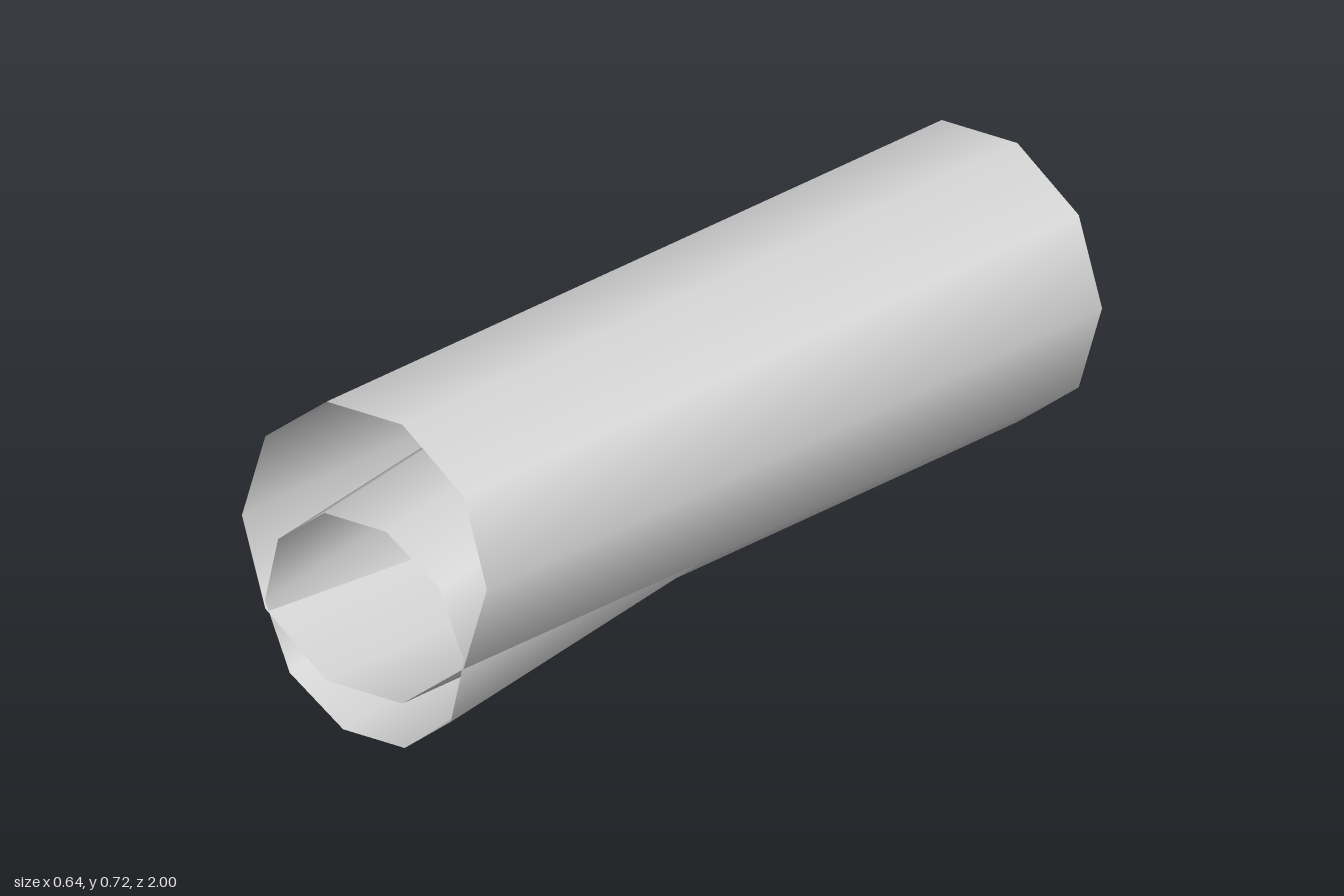
import * as THREE from 'three';

const SIDES = 10;

// Ten-sided tube along z: open at the front, closed by a flat disc at the back.
function makeTube(name, radius, length, material) {
  const tube = new THREE.Group();
  tube.name = name;

  const wall = new THREE.CylinderGeometry(radius, radius, length, SIDES, 1, true, Math.PI / 2);
  wall.rotateX(Math.PI / 2);
  const wallMesh = new THREE.Mesh(wall, material);
  wallMesh.name = name + 'Wall';

  const cap = new THREE.CircleGeometry(radius, SIDES);
  cap.rotateY(Math.PI);
  cap.translate(0, 0, -length / 2);
  const capMesh = new THREE.Mesh(cap, material);
  capMesh.name = name + 'BackCap';

  tube.add(wallMesh, capMesh);
  return tube;
}

export function createModel() {
  const model = new THREE.Group();
  model.name = 'branchingPipe';

  const grey = new THREE.MeshStandardMaterial({ color: 0xcccccc, side: THREE.DoubleSide });
  grey.name = 'light grey';

  // Main pipe, level
  const mainPipe = makeTube('mainPipe', 0.32, 1.97, grey);
  mainPipe.position.set(0, 0.416, -0.015);

  // Narrower branch, half as long, dipping towards the front
  const branchPipe = makeTube('branchPipe', 0.26, 0.985, grey);
  branchPipe.rotation.x = THREE.MathUtils.degToRad(7);
  branchPipe.position.set(0, 0.306, 0.481);

  model.add(mainPipe, branchPipe);
  return model;
}
